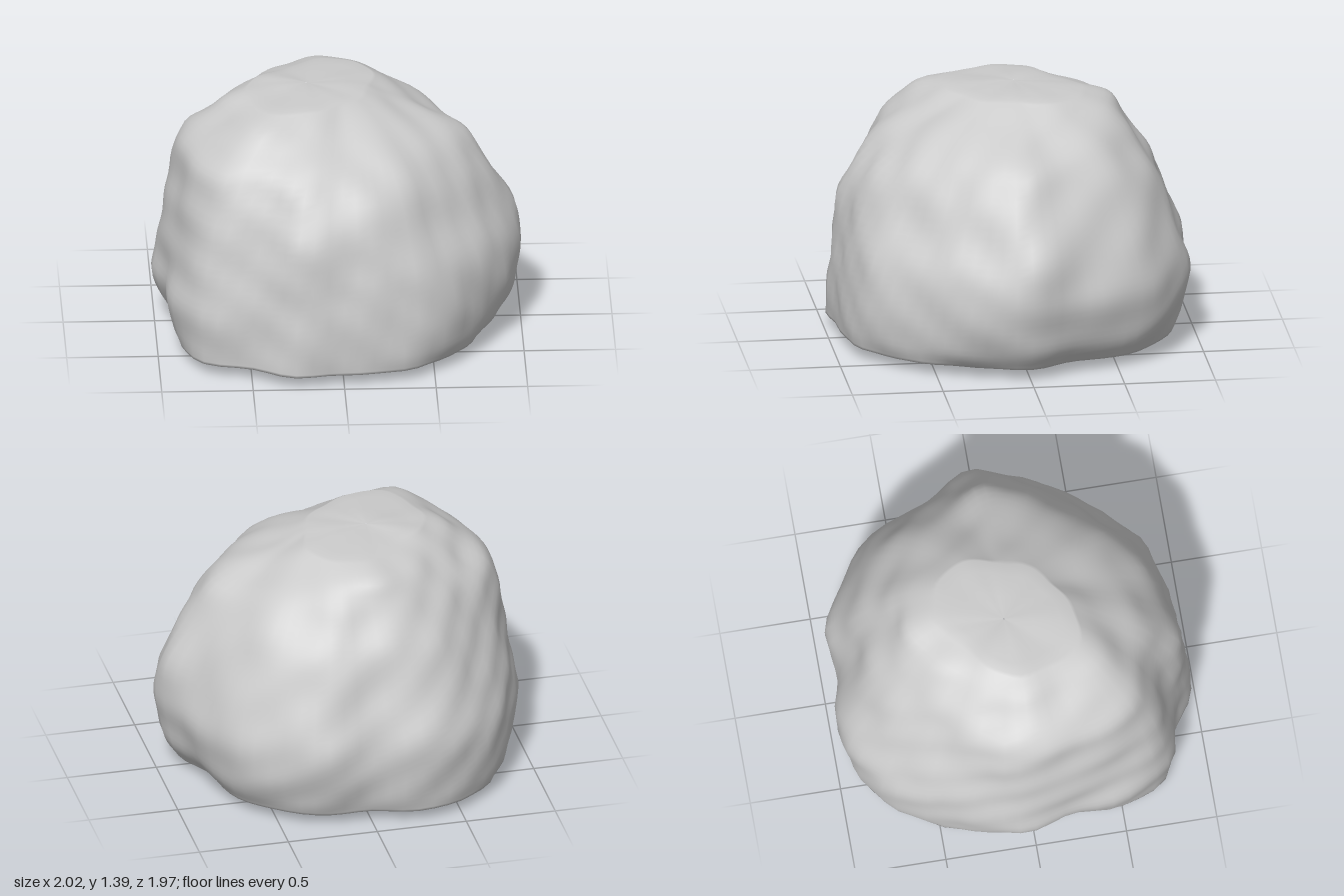
import * as THREE from 'three';

// Plan outline: radius every 15 degrees, from +x towards +z
const OUTLINE = [
  1, 0.975, 0.96, 0.965, 0.99, 0.97, 0.95, 1.01, 0.99, 1.09, 1.05, 0.975,
  1, 1, 1.02, 1.05, 1.06, 1.02, 0.93, 0.97, 0.98, 0.99, 0.955, 0.94,
];

// Height, then share of the outline reached in 8 directions:
// +x, +x+z, +z, -x+z, -x, -x-z, -z, +x-z
const LEVELS = [
  [0.06, 0.86, 0.93, 1, 0.98, 0.9, 0.95, 0.94, 0.9],
  [0.15, 0.93, 0.97, 1, 0.99, 0.96, 0.97, 0.97, 0.95],
  [0.3, 0.98, 0.99, 0.99, 1, 1.01, 0.97, 1, 0.99],
  [0.46, 1, 0.97, 0.98, 0.98, 0.99, 0.96, 1, 0.99],
  [0.62, 0.98, 0.92, 0.97, 0.95, 0.97, 0.91, 0.96, 0.94],
  [0.8, 0.89, 0.83, 0.93, 0.91, 0.94, 0.84, 0.89, 0.87],
  [0.98, 0.79, 0.74, 0.83, 0.86, 0.91, 0.77, 0.81, 0.78],
  [1.12, 0.68, 0.64, 0.69, 0.81, 0.87, 0.69, 0.72, 0.67],
  [1.22, 0.5, 0.49, 0.54, 0.7, 0.73, 0.6, 0.65, 0.54],
  [1.31, 0.3, 0.33, 0.38, 0.58, 0.61, 0.5, 0.57, 0.4],
  [1.37, 0.14, 0.18, 0.25, 0.45, 0.5, 0.36, 0.42, 0.28],
];
const TOP = LEVELS.length - 1, SEGMENTS = 72, STEPS = 4;

// Catmull-Rom value between b and c
function spline(a, b, c, d, t) {
  return b + 0.5 * t * (c - a + t * (2 * a - 5 * b + 4 * c - d + t * (3 * (b - c) + d - a)));
}
function around(list, u) {
  const n = list.length, i = Math.floor(u * n);
  const at = k => list[(k + n) % n];
  return spline(at(i - 1), at(i), at(i + 1), at(i + 2), u * n - i);
}
function along(list, v) {
  const last = list.length - 1, i = Math.min(Math.floor(v), last - 1);
  const at = k => list[Math.max(0, Math.min(last, k))];
  return spline(at(i - 1), at(i), at(i + 1), at(i + 2), v - i);
}

// Weathered bumps
function bump(x, y, z) {
  return 0.008 * Math.sin(9 * x + 4 * y) * Math.cos(8 * z - 3 * y)
    + 0.009 * Math.sin(11 * z + 5 * x + 1) * Math.cos(10 * y - 4 * x)
    + 0.008 * Math.sin(17 * x - 13 * z + 9 * y) * Math.cos(14 * y + 6 * z);
}

// Point of the side wall at turn u and level v
function wallPoint(u, v) {
  const a = u * Math.PI * 2;
  const y = along(LEVELS.map(l => l[0]), v);
  const r = around(OUTLINE, u) * along(LEVELS.map(l => around(l.slice(1), u)), v);
  const b = bump(Math.cos(a) * r, y, Math.sin(a) * r);
  return new THREE.Vector3(Math.cos(a) * (r + b), y + b * 0.4 * Math.min(1, v), Math.sin(a) * (r + b));
}

// Smooth skin over closed rings
function loft(rings) {
  const index = [];
  for (let j = 0; j < rings.length - 1; j++) {
    for (let i = 0; i < SEGMENTS; i++) {
      const a = j * SEGMENTS + i, b = j * SEGMENTS + (i + 1) % SEGMENTS;
      index.push(a, a + SEGMENTS, b, b, a + SEGMENTS, b + SEGMENTS);
    }
  }
  const geometry = new THREE.BufferGeometry();
  geometry.setFromPoints(rings.flat());
  geometry.setIndex(index);
  geometry.computeVertexNormals();
  return geometry;
}
const ring = fn => Array.from({ length: SEGMENTS }, (_, i) => fn(i / SEGMENTS));

export function createModel() {
  const rings = [];

  // Shallow, slightly rounded underside, from its middle out to the rim
  for (const t of [0.005, 0.25, 0.5, 0.75, 0.9, 0.97]) {
    rings.push(ring(u => wallPoint(u, 0).multiply(new THREE.Vector3(t, t * t, t))));
  }

  // Bulging wall leaning in towards the top
  for (let s = 0; s <= TOP * STEPS; s++) rings.push(ring(u => wallPoint(u, s / STEPS)));

  // Gently domed, lumpy crown closing the top
  const crown = new THREE.Vector3(-0.17, 1.37, -0.04);
  for (const t of [0.2, 0.4, 0.6, 0.8, 0.99]) {
    rings.push(ring(u => {
      const p = wallPoint(u, TOP).lerp(crown, t);
      p.y += 0.015 * t * (2 - t) + bump(p.x, p.y, p.z) * 0.6 * t;
      return p;
    }));
  }

  const body = new THREE.Mesh(loft(rings), new THREE.MeshStandardMaterial({ color: 0xcccccc }));
  body.name = 'rockBody';
  const model = new THREE.Group();
  model.name = 'boulder';
  model.add(body);
  return model;
}
